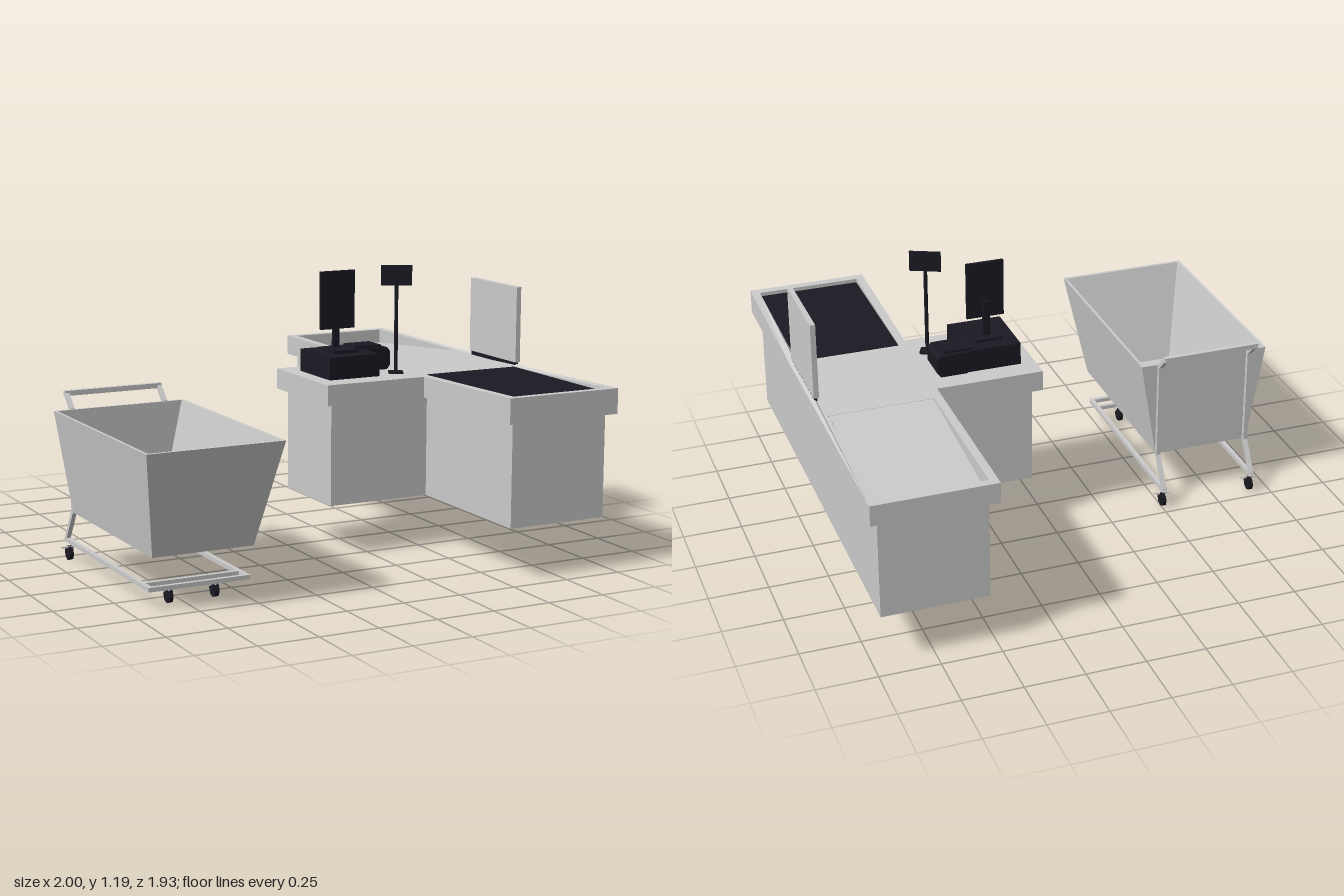
import * as THREE from 'three';

const grey = new THREE.MeshStandardMaterial({ color: 0xcccccc, flatShading: true, side: THREE.DoubleSide });
const dark = new THREE.MeshStandardMaterial({ color: 0x1b1922, flatShading: true });

function add(parent, name, geometry, material) {
  const mesh = new THREE.Mesh(geometry, material);
  mesh.name = name;
  parent.add(mesh);
  return mesh;
}

// Box given by its limits on each axis
function box(parent, name, material, x0, x1, y0, y1, z0, z1) {
  const g = new THREE.BoxGeometry(x1 - x0, y1 - y0, z1 - z0);
  g.translate((x0 + x1) / 2, (y0 + y1) / 2, (z0 + z1) / 2);
  return add(parent, name, g, material);
}

// Square bar between two points
function bar(parent, name, a, b, t = 0.018) {
  const p = new THREE.Vector3(...a), q = new THREE.Vector3(...b);
  const m = add(parent, name, new THREE.BoxGeometry(t, t, p.distanceTo(q) + t * 0.8), grey);
  m.position.copy(p).add(q).multiplyScalar(0.5);
  m.lookAt(q);
  return m;
}

// T-shaped counter outline in x and z, inset by d
function outline(d) {
  return [
    [0.49 + d, -0.965 + d], [1 - d, -0.965 + d], [1 - d, 0.3], [1 - d, 0.965 - d], [0.49 + d, 0.965 - d],
    [0.49 + d, 0.3 - d], [0.035 + d, 0.3 - d], [0.035 + d, -0.165 + d], [0.49 + d, -0.165 + d],
  ].map(([x, z]) => new THREE.Vector2(x, z));
}

// Hollow wall following the counter outline, open above and below
function ring(outer, inner, y0, y1) {
  const shape = new THREE.Shape(outline(outer));
  shape.holes.push(new THREE.Path(outline(inner)));
  const g = new THREE.ExtrudeGeometry(shape, { depth: y1 - y0, bevelEnabled: false });
  g.rotateX(Math.PI / 2);
  g.translate(0, y1, 0);
  return g;
}

function makeCounter() {
  const counter = new THREE.Group();
  counter.name = 'checkoutCounter';
  add(counter, 'counterBody', ring(0.035, 0.042, 0.22, 0.652), grey);

  // Overhanging rim, rising gently towards the front end
  const rim = ring(0, 0.035, 0.65, 0.737);
  const p = rim.attributes.position;
  for (let i = 0; i < p.count; i++) {
    if (p.getY(i) > 0.7 && p.getZ(i) > 0.3) p.setY(i, 0.737 + 0.018 * (p.getZ(i) - 0.3) / 0.665);
  }
  add(counter, 'counterRim', rim, grey);

  box(counter, 'sideTop', grey, 0.07, 0.525, 0.731, 0.737, -0.13, 0.265);
  box(counter, 'middleTop', grey, 0.525, 0.965, 0.731, 0.737, -0.24, 0.265);
  box(counter, 'conveyorBelt', dark, 0.528, 0.958, 0.725, 0.739, 0.262, 0.927);

  // Packing tray sloping down to the back
  const tray = new THREE.PlaneGeometry(0.43, 0.692);
  tray.rotateX(-Math.PI / 2);
  tray.translate(0.745, 0, -0.585);
  const t = tray.attributes.position;
  for (let i = 0; i < t.count; i++) t.setY(i, t.getZ(i) < -0.6 ? 0.675 : 0.736);
  add(counter, 'packingTray', tray, grey);

  // Divider screen on its dark foot
  box(counter, 'screenFoot', dark, 0.972, 0.986, 0.735, 0.757, -0.105, 0.252);
  box(counter, 'dividerScreen', grey, 0.968, 0.99, 0.755, 1.08, -0.115, 0.258);
  return counter;
}

function makeTill() {
  const till = new THREE.Group();
  till.name = 'till';
  box(till, 'cashDrawer', dark, 0.098, 0.332, 0.725, 0.832, -0.07, 0.2);
  box(till, 'monitorFoot', dark, 0.155, 0.272, 0.83, 0.845, -0.01, 0.13);
  box(till, 'monitorStand', dark, 0.2, 0.228, 0.84, 1.0, 0.022, 0.038);
  box(till, 'monitor', dark, 0.135, 0.295, 0.925, 1.17, 0.035, 0.048);

  // Receipt printer with chamfered right end
  const s = new THREE.Shape([
    [0.33, 0.737], [0.445, 0.737], [0.46, 0.755], [0.46, 0.815], [0.445, 0.832], [0.33, 0.832],
  ].map(([x, y]) => new THREE.Vector2(x, y)));
  const printer = new THREE.ExtrudeGeometry(s, { depth: 0.14, bevelEnabled: false });
  add(till, 'receiptPrinter', printer, dark).position.z = -0.077;
  box(till, 'printerLid', dark, 0.3, 0.425, 0.83, 0.842, -0.06, 0.045);

  // Customer display turned on its pole
  const display = new THREE.Group();
  display.name = 'customerDisplay';
  display.position.set(0.43, 0, 0.165);
  display.rotation.y = -0.43;
  box(display, 'displayFoot', dark, -0.03, 0.03, 0.735, 0.746, -0.025, 0.025);
  const pole = add(display, 'displayPole', new THREE.CylinderGeometry(0.008, 0.008, 0.4, 8), dark);
  pole.position.y = 0.94;
  box(display, 'displayHead', dark, -0.065, 0.065, 1.11, 1.195, -0.006, 0.006);
  till.add(display);
  return till;
}

// Open basket lofted through rectangles: up the outside, over the lip, down the inside
function basketGeometry() {
  const rings = [
    [-0.925, -0.5, -0.115, 0.705, 0.22], [-1, -0.427, -0.115, 0.838, 0.65],
    [-0.988, -0.439, -0.104, 0.824, 0.65], [-0.897, -0.53, -0.104, 0.68, 0.235],
  ];
  const pos = [], idx = [];
  for (const [x0, x1, z0, z1, y] of rings) pos.push(x0, y, z0, x1, y, z0, x1, y, z1, x0, y, z1);
  for (let r = 0; r < 3; r++) {
    for (let i = 0; i < 4; i++) {
      const a = r * 4 + i, b = r * 4 + (i + 1) % 4;
      idx.push(a, a + 4, b + 4, a, b + 4, b);
    }
  }
  idx.push(0, 1, 2, 0, 2, 3, 12, 14, 13, 12, 15, 14);
  let g = new THREE.BufferGeometry();
  g.setAttribute('position', new THREE.Float32BufferAttribute(pos, 3));
  g.setIndex(idx);
  g = g.toNonIndexed();
  g.computeVertexNormals();
  return g;
}

function makeCaster(parent, x, z) {
  const caster = new THREE.Group();
  caster.name = 'caster';
  caster.position.set(x, 0, z);
  const wheel = new THREE.CylinderGeometry(0.031, 0.031, 0.017, 8);
  wheel.rotateZ(Math.PI / 2);
  add(caster, 'wheel', wheel, dark).position.y = 0.032;
  for (const s of [-1, 1]) bar(caster, 'fork', [s * 0.011, 0.078, 0.012], [s * 0.011, 0.036, 0], 0.006);
  parent.add(caster);
}

function makeCart() {
  const cart = new THREE.Group();
  cart.name = 'shoppingCart';
  add(cart, 'basket', basketGeometry(), grey);

  // Bent side rails: handle arm, upright, slanted leg and floor rail
  const left = -0.507, right = -0.917;
  const path = [[0.705, -0.185], [0.645, -0.125], [0.22, -0.125], [0.085, -0.208], [0.085, 0.66]];
  for (const x of [left, right]) {
    for (let i = 0; i < path.length - 1; i++) bar(cart, 'sideRail', [x, ...path[i]], [x, ...path[i + 1]]);
    makeCaster(cart, x, -0.187);
  }
  bar(cart, 'handle', [right, 0.705, -0.185], [left, 0.705, -0.185], 0.021);
  for (const z of [0.66, 0.59]) bar(cart, 'crossRail', [right, 0.085, z], [left, 0.085, z]);
  for (const x of [-0.81, -0.615]) makeCaster(cart, x, 0.59);
  return cart;
}

export function createModel() {
  const model = new THREE.Group();
  model.name = 'checkoutWithCart';
  model.add(makeCounter(), makeTill(), makeCart());
  return model;
}
